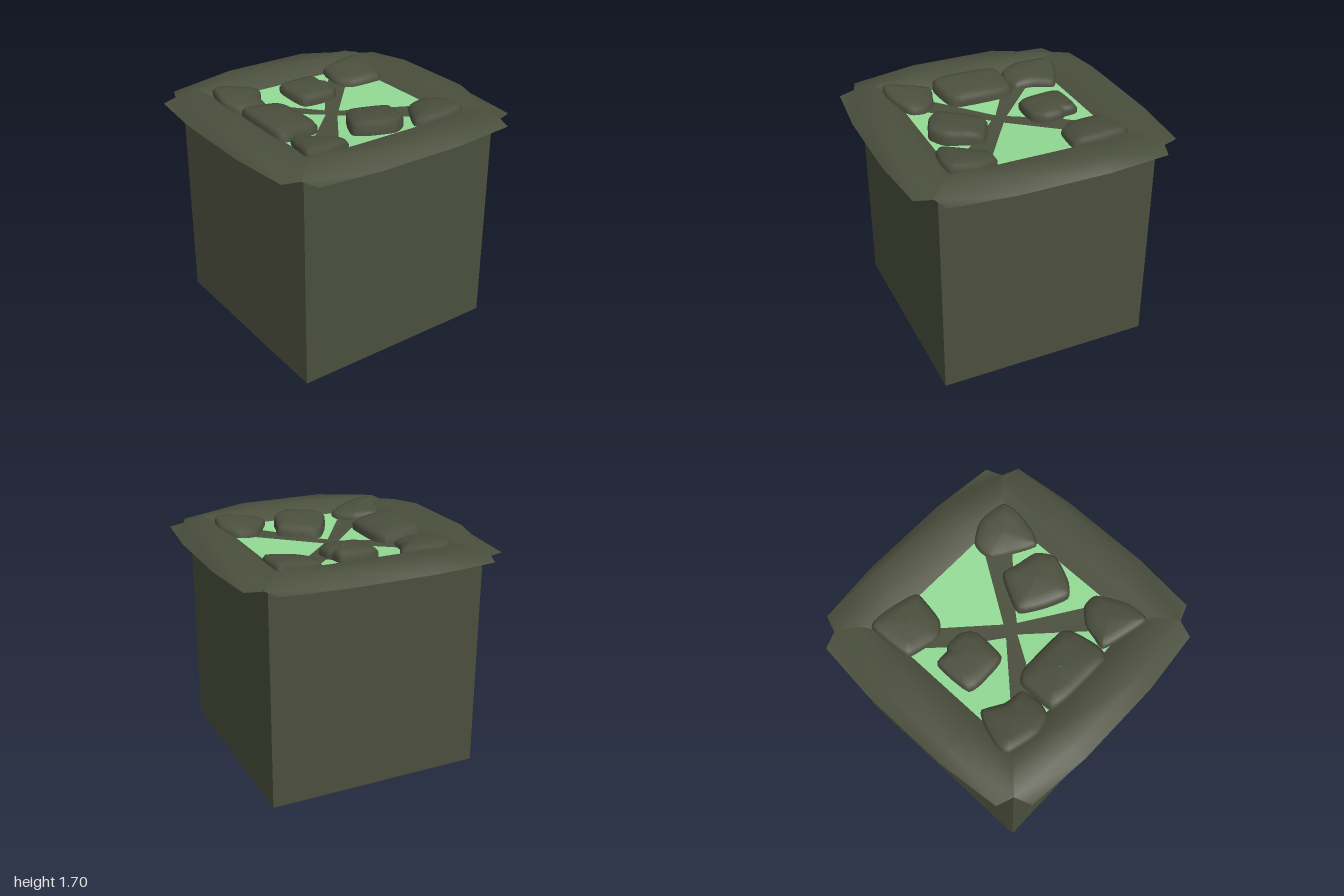
import * as THREE from 'three';

const stone = new THREE.MeshStandardMaterial({ color: 0x4b4f3d });
stone.name = 'mossy stone';
const slime = new THREE.MeshStandardMaterial({ color: 0x92da94 });
slime.name = 'pale green';

// Surface through rows of points; rows run outside to inside, points run towards +x
function loft(rows, closed) {
  const n = rows[0].length, index = [];
  for (let i = 0; i < rows.length - 1; i++) {
    for (let j = 0; j < (closed ? n : n - 1); j++) {
      const k = (j + 1) % n;
      const a = i * n + j, b = i * n + k, c = a + n, d = b + n;
      index.push(a, b, c, b, d, c);
    }
  }
  const g = new THREE.BufferGeometry();
  g.setAttribute('position', new THREE.Float32BufferAttribute(rows.flat(2), 3));
  g.setIndex(index);
  g.computeVertexNormals();
  return g;
}

// Square lathe: profile of [half width, height]
function squareLathe(profile) {
  const pts = profile.map(([w, y]) => new THREE.Vector2(w * Math.SQRT2, y));
  const g = new THREE.LatheGeometry(pts, 4, Math.PI / 4).toNonIndexed();
  g.computeVertexNormals();
  return g;
}

// Domed stone from its plan outline [x, z], leaning by a slope in x and z
function stoneGeometry(outline, top, slopeX, slopeZ) {
  const curve = new THREE.CatmullRomCurve3(
    outline.map(([x, z]) => new THREE.Vector3(x, 0, z)), true, 'catmullrom', 0.3);
  const pts = curve.getPoints(32).slice(0, -1);
  const c = pts.reduce((s, p) => s.add(p), new THREE.Vector3()).divideScalar(pts.length);
  const levels = [[1, -0.12], [1, -0.045], [0.9, -0.016], [0.6, -0.003], [0.01, 0]];
  return loft(levels.map(([s, h]) => pts.map((p) => {
    const dx = (p.x - c.x) * s, dz = (p.z - c.z) * s;
    return [c.x + dx, top + h + slopeX * dx + slopeZ * dz, c.z + dz];
  })), true);
}

export function createModel() {
  const model = new THREE.Group();
  const add = (name, geometry, material, parent = model) => {
    const mesh = new THREE.Mesh(geometry, material);
    mesh.name = name;
    parent.add(mesh);
    return mesh;
  };

  // Block with a slightly sunken top, and the green surface lying in it
  add('block', squareLathe([[0, 0], [0.795, 0], [0.795, 1.6], [0.65, 1.595], [0, 1.555]]), stone);
  add('greenSurface', squareLathe([[0.65, 1.605], [0, 1.565]]), slime);

  // Crossed ribs following the sunken surface
  const cross = [
    [0, -0.04], [-0.34, -0.35], [-0.6, -0.6], [-0.62, -0.42], [-0.38, -0.19], [-0.17, -0.04],
    [-0.06, 0.04], [-0.37, 0.37], [-0.6, 0.6], [-0.28, 0.6], [-0.12, 0.29],
    [0.01, 0.08], [0.36, 0.43], [0.5, 0.6], [0.62, 0.6], [0.6, 0.38], [0.45, 0.28],
    [0.07, 0.02], [0.13, -0.05], [0.43, -0.36], [0.6, -0.5], [0.36, -0.6],
  ];
  const ribs = new THREE.ShapeGeometry(new THREE.Shape(cross.map(([x, z]) => new THREE.Vector2(x, -z))));
  ribs.rotateX(-Math.PI / 2);
  const p = ribs.attributes.position;
  for (let i = 0; i < p.count; i++) {
    const m = Math.max(Math.abs(p.getX(i)), Math.abs(p.getZ(i)));
    p.setY(i, 1.57 + 0.04 * m / 0.65);
  }
  ribs.computeVertexNormals();
  add('crossRibs', ribs, stone);

  // Four bowed rim slabs meeting at mitred corners
  const row = (xEnd, zEnd, yEnd, zMid, yMid) => [
    [-xEnd, yEnd, zEnd], [-0.33, yMid, zMid], [0.33, yMid, zMid], [xEnd, yEnd, zEnd]];
  const outer = row(0.79, 0.955, 1.6, 1, 1.6);
  const rimTop = loft([
    outer,
    row(0.835, 0.835, 1.605, 0.91, 1.68),
    row(0.71, 0.71, 1.68, 0.73, 1.68),
    row(0.6, 0.6, 1.6, 0.6, 1.6),
  ], false);
  const rimUnder = loft([row(0.83, 0.79, 1.6, 0.79, 1.6), outer], false);
  for (let i = 0; i < 4; i++) {
    const slab = new THREE.Group();
    slab.name = 'rimSlab';
    add('rimTop', rimTop, stone, slab);
    add('rimUnderside', rimUnder, stone, slab);
    slab.rotation.y = i * Math.PI / 2;
    model.add(slab);
  }

  // Loose stones: name, outline, top height, slope in x, slope in z
  const stones = [
    ['backRightStone', [[-0.63, -0.36], [-0.58, -0.32], [-0.38, -0.29], [-0.28, -0.38], [-0.25, -0.6],
      [-0.31, -0.64], [-0.5, -0.67], [-0.65, -0.65]], 1.67, -0.12, -0.12],
    ['backLeftStone', [[0.3, -0.44], [0.4, -0.37], [0.58, -0.27], [0.64, -0.36], [0.67, -0.54],
      [0.64, -0.65], [0.44, -0.68], [0.3, -0.6], [0.28, -0.52]], 1.67, 0.12, -0.12],
    ['middleRightStone', [[-0.52, 0.13], [-0.35, 0.15], [-0.19, 0.12], [-0.18, -0.12], [-0.26, -0.2],
      [-0.38, -0.2], [-0.42, -0.17], [-0.53, -0.15]], 1.665, -0.05, 0],
    ['middleLeftStone', [[0.13, -0.02], [0.28, 0.09], [0.44, 0.16], [0.52, 0.08], [0.59, -0.1],
      [0.52, -0.22], [0.38, -0.26], [0.26, -0.29], [0.18, -0.16]], 1.682, 0.12, 0],
    ['frontRightStone', [[-0.66, 0.62], [-0.43, 0.67], [-0.29, 0.63], [-0.25, 0.52], [-0.27, 0.38],
      [-0.41, 0.36], [-0.56, 0.28], [-0.63, 0.39], [-0.68, 0.54]], 1.67, -0.12, 0.12],
    ['frontMiddleStone', [[-0.24, 0.62], [-0.08, 0.65], [0.25, 0.65], [0.3, 0.56], [0.27, 0.36],
      [0.2, 0.29], [-0.15, 0.29], [-0.24, 0.34], [-0.25, 0.48]], 1.682, 0, 0.1],
    ['frontLeftStone', [[0.32, 0.58], [0.5, 0.64], [0.66, 0.67], [0.67, 0.5], [0.58, 0.29],
      [0.47, 0.28], [0.37, 0.38], [0.34, 0.48]], 1.67, 0.12, 0.12],
  ];
  for (const [name, outline, top, sx, sz] of stones) add(name, stoneGeometry(outline, top, sx, sz), stone);

  return model;
}
